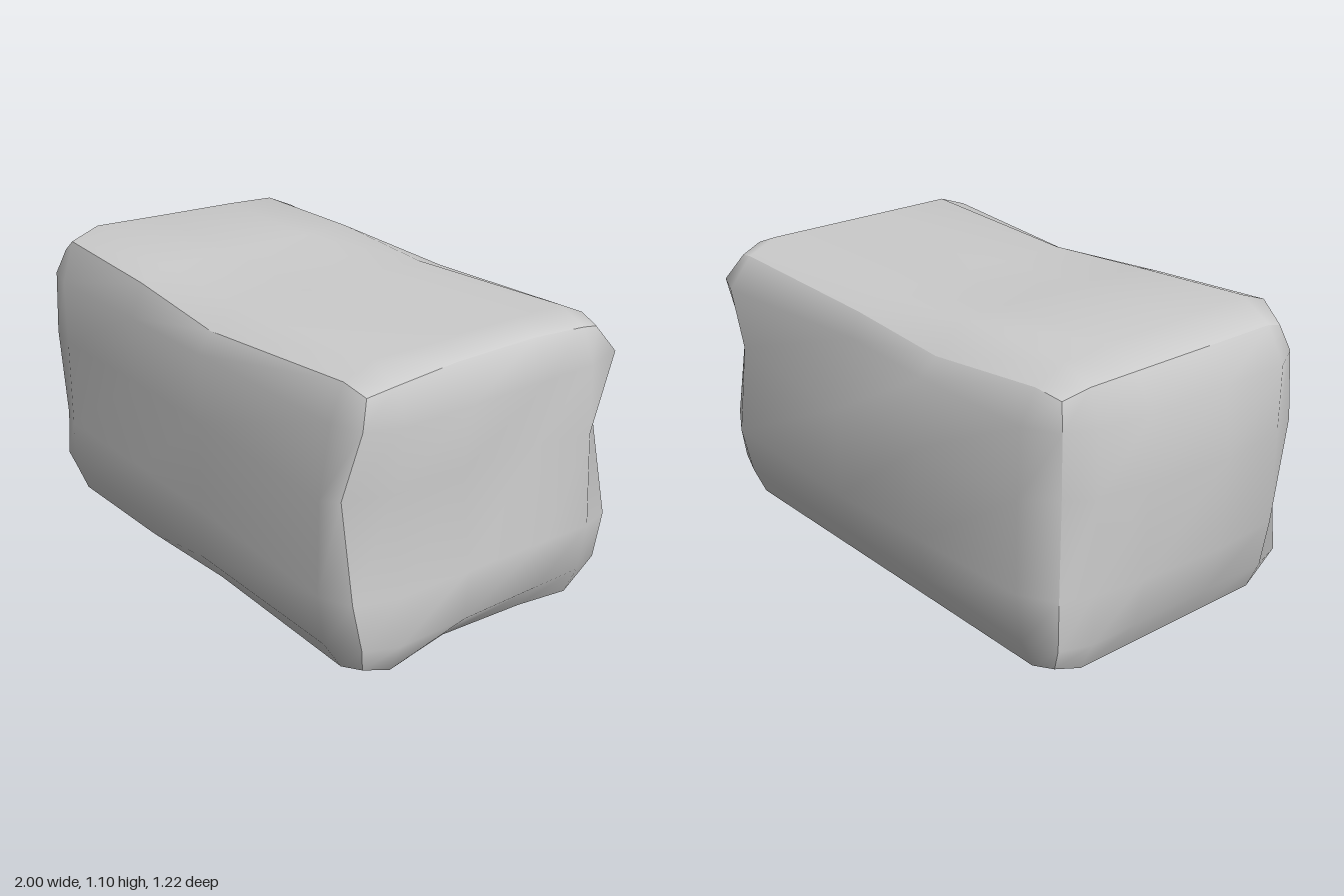
import * as THREE from 'three';

// Grid lines of the block, closer together near the edges
const X = [-0.89, -0.78, -0.3, 0.12, 0.81, 0.92];
const Y = [0.05, 0.16, 0.34, 0.67, 0.91, 1.02];
const Z = [-0.5, -0.39, -0.2, 0.13, 0.4, 0.51];

// Each side bulges to the lower of its two profiles, less local dents.
// Dents are listed by grid position, 'uv'; negative ones are bumps.
const side = (a, b, dents) => (u, v) => Math.min(a[u], b[v]) - (dents[`${u}${v}`] ?? 0);

const right = side( // by y, z
  [0.92, 0.97, 1.0, 0.98, 0.97, 0.92], [0.93, 1.0, 0.99, 0.98, 0.97, 0.92],
  { 30: 0.04, 32: 0.05, 33: 0.05, 34: 0.05, 35: 0.06, 20: -0.04, 10: -0.01,
    52: 0.03, 53: 0.03, '02': 0.03, '03': 0.05 });
const left = side( // by y, z
  [0.89, 0.94, 0.99, 1.0, 0.97, 0.9], [0.9, 0.94, 0.97, 1.0, 0.97, 0.9],
  { 25: 0.02, 35: -0.02, 30: 0.03 });
const front = side( // by x, y
  [0.52, 0.555, 0.555, 0.57, 0.605, 0.555], [0.51, 0.58, 0.61, 0.6, 0.56, 0.51],
  { 51: 0.04, 54: 0.03, 30: 0.02 });
const back = side( // by x, y
  [0.5, 0.57, 0.59, 0.61, 0.59, 0.5], [0.5, 0.55, 0.61, 0.61, 0.59, 0.5],
  { 54: -0.04, '03': 0.03, 14: 0.01, 24: 0.03, 34: 0.06, 43: 0.04 });
const top = side( // by x, z
  [1.03, 1.1, 1.07, 1.04, 1.07, 1.025], [1.02, 1.07, 1.08, 1.09, 1.1, 1.06],
  { 25: 0.03, 35: 0.06, 45: 0.03, 20: 0.05, 30: 0.02 });
const isEnd = (t) => t % 5 === 0;
const bottom = (i, k) => (isEnd(i) || isEnd(k) ? 0.05 : 0);

export function createModel() {
  const group = new THREE.Group();
  group.name = 'stoneBlock';

  // Worn block: smooth across each side, sharp along the twelve edges
  const geometry = new THREE.BoxGeometry(1, 1, 1, 5, 5, 5);
  const p = geometry.attributes.position;
  const index = (t) => Math.round((t + 0.5) * 5);
  for (let n = 0; n < p.count; n++) {
    const i = index(p.getX(n)), j = index(p.getY(n)), k = index(p.getZ(n));
    const x = i === 5 ? right(j, k) : i === 0 ? -left(j, k) : X[i];
    const y = j === 5 ? top(i, k) : j === 0 ? bottom(i, k) : Y[j];
    const z = k === 5 ? front(i, j) : k === 0 ? -back(i, j) : Z[k];
    // The eight corners are worn back
    if (isEnd(i) && isEnd(j) && isEnd(k)) p.setXYZ(n, x * 0.97, j ? 1.0 : 0.07, z * 0.96);
    else p.setXYZ(n, x, y, z);
  }
  geometry.computeVertexNormals();

  const block = new THREE.Mesh(geometry, new THREE.MeshStandardMaterial({ color: 0xcccccc }));
  block.name = 'block';
  group.add(block);
  return group;
}
